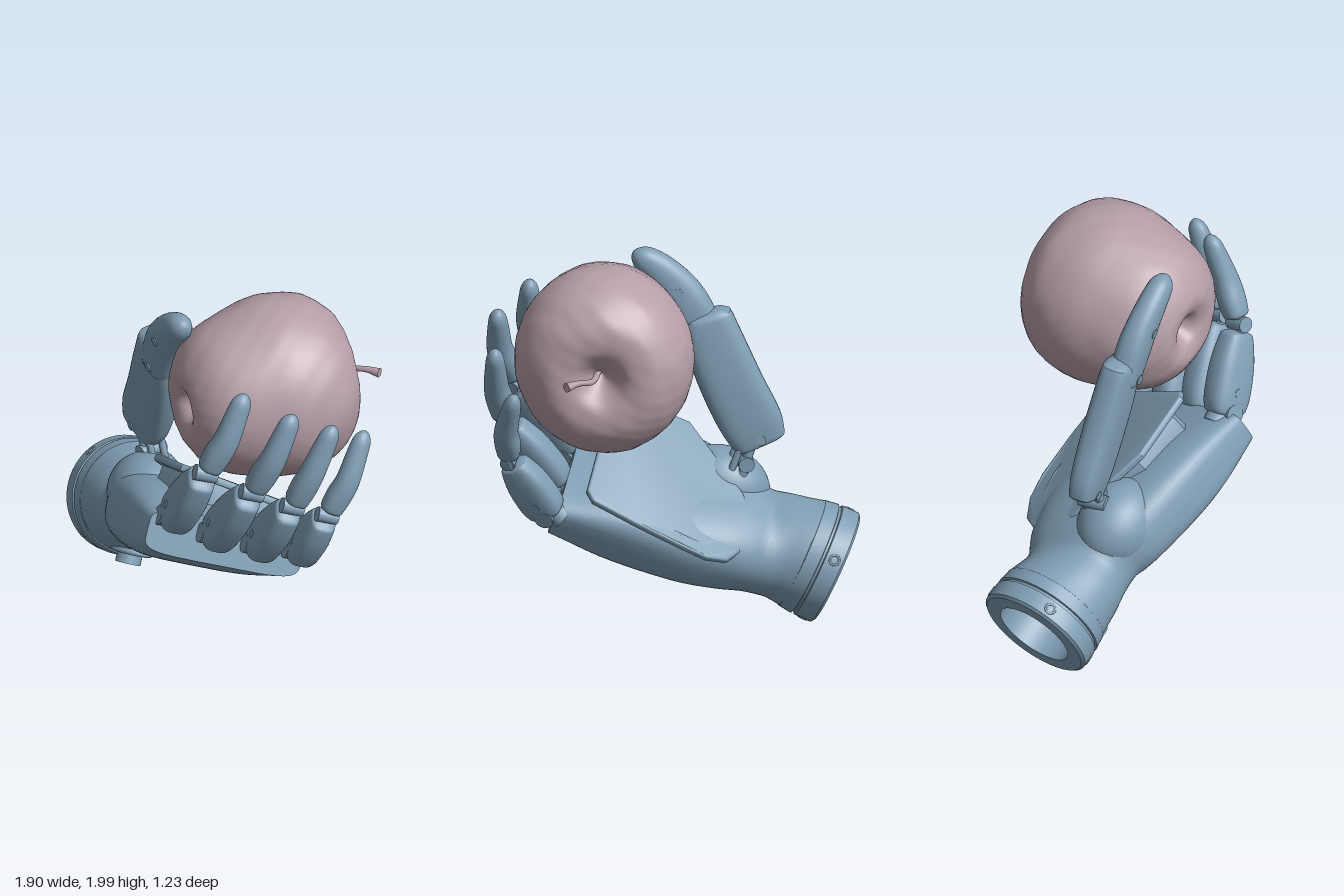
import * as THREE from 'three';
import { mergeVertices, toCreasedNormals } from 'three/addons/utils/BufferGeometryUtils.js';

const V = (x, y, z) => new THREE.Vector3(x, y, z);
const shell = new THREE.MeshStandardMaterial({ color: 0x7f9db3 });
const skin = new THREE.MeshStandardMaterial({ color: 0xb79fa9 });

// Hand frame: W runs from index to little finger, N out of the palm, L from wrist to knuckles
const L = V(0.88, 0.41, 0.22).normalize();
const N = L.clone().cross(V(0.35, -0.36, -0.87)).normalize();
const W = N.clone().cross(L);

function add(parent, name, geometry, material = shell) {
  const mesh = new THREE.Mesh(geometry, material);
  mesh.name = name;
  parent.add(mesh);
  return mesh;
}

// Superellipse loft. Sections: [x, y, z, half width, half depth, exponent].
// r0 and r1 are the shares of the length rounded off at each end.
function loft(sections, side, { r0 = 0, r1 = 0, steps = 24, sides = 32 } = {}) {
  const path = new THREE.CatmullRomCurve3(sections.map(s => V(s[0], s[1], s[2])), false, 'catmullrom', 0.5);
  const size = new THREE.CatmullRomCurve3(sections.map(s => V(s[3], s[4], s[5])), false, 'catmullrom', 0.5);
  const pos = [], index = [];
  const power = (c, e) => Math.sign(c) * Math.abs(c) ** (2 / e);
  const round = (d, r) => (d >= r ? 1 : Math.sqrt(Math.max(0, 1 - (1 - d / r) ** 2)));
  for (let i = -1; i <= steps + 1; i++) {
    const u = Math.min(Math.max(i / steps, 0), 1);
    const t = (1 - Math.cos(Math.PI * u)) / 2;          // denser towards both ends
    const p = path.getPoint(t), s = size.getPoint(t), T = path.getTangent(t);
    const A = side.clone().addScaledVector(T, -side.dot(T)).normalize();
    const B = T.clone().cross(A);
    const k = i < 0 || i > steps ? 0 : round(t, r0) * round(1 - t, r1);
    for (let j = 0; j < sides; j++) {
      const a = (j / sides) * Math.PI * 2;
      const q = p.clone()
        .addScaledVector(A, k * s.x * power(Math.cos(a), s.z))
        .addScaledVector(B, k * s.y * power(Math.sin(a), s.z));
      pos.push(q.x, q.y, q.z);
    }
  }
  for (let i = 0; i < steps + 2; i++) for (let j = 0; j < sides; j++) {
    const a = i * sides + j, b = i * sides + (j + 1) % sides;
    index.push(a, b, a + sides, b, b + sides, a + sides);
  }
  const g = new THREE.BufferGeometry();
  g.setAttribute('position', new THREE.Float32BufferAttribute(pos, 3));
  g.setIndex(index);
  return toCreasedNormals(g, 0.7);
}

// Cylinder centred on a point, along a direction
function pin(parent, name, at, dir, radius, length) {
  const m = add(parent, name, toCreasedNormals(new THREE.CylinderGeometry(radius, radius, length, 20), 0.7));
  m.position.copy(at);
  m.quaternion.setFromUnitVectors(V(0, 1, 0), dir.clone().normalize());
}

function strut(parent, name, a, b, radius) {
  pin(parent, name, a.clone().lerp(b, 0.5), b.clone().sub(a), radius, a.distanceTo(b));
}

function makePalm() {
  const palm = new THREE.Group();
  palm.name = 'palm';
  palm.applyMatrix4(new THREE.Matrix4().makeBasis(W, N, L).setPosition(-0.82, 0.27, -0.06));

  // Hollow wrist collar with a groove
  const collar = [[0, 0.22], [0.2, 0.22], [0.2, 0], [0.28, 0], [0.295, 0.012], [0.295, 0.1],
    [0.283, 0.104], [0.283, 0.116], [0.294, 0.12], [0.285, 0.19], [0.25, 0.22]].map(p => new THREE.Vector2(...p));
  add(palm, 'wristCollar', toCreasedNormals(new THREE.LatheGeometry(collar, 56).rotateX(Math.PI / 2), 0.6));
  for (let i = 0; i < 4; i++) {
    const a = (i / 4) * Math.PI * 2 + 0.9;
    const ring = add(palm, 'collarScrew', new THREE.TorusGeometry(0.024, 0.006, 8, 20).rotateY(Math.PI / 2));
    ring.position.set(Math.cos(a) * 0.293, Math.sin(a) * 0.293, 0.055);
    ring.rotation.z = a;
  }

  // Body of the hand, from round wrist to flat knuckle edge
  add(palm, 'handBody', loft([
    [0, 0, 0.16, 0.287, 0.286, 2], [0.005, -0.01, 0.29, 0.28, 0.252, 2], [0.03, -0.015, 0.42, 0.288, 0.215, 2.2],
    [0.05, 0, 0.56, 0.34, 0.215, 2.6], [0.055, -0.005, 0.75, 0.39, 0.21, 3], [0.05, -0.025, 1.1, 0.42, 0.185, 4],
    [0.06, -0.048, 1.425, 0.42, 0.115, 5]], V(1, 0, 0), { steps: 36, sides: 48 }));

  // Button on the back of the wrist
  pin(palm, 'wristButton', V(0.01, -0.27, 0.27), V(0, 1, 0), 0.064, 0.09);
  const rim = add(palm, 'buttonRim', new THREE.TorusGeometry(0.09, 0.016, 10, 28).rotateX(Math.PI / 2));
  rim.position.set(0.01, -0.25, 0.28);
  rim.scale.set(1, 1, 1.2);

  // Palm cover, curling down towards the wrist, with an inner pad beneath it
  const outline = [[-0.22, 0.97], [-0.21, 1.33], [-0.18, 1.36], [0.4, 1.32], [0.44, 1.28], [0.46, 1.05], [0.47, 0.8],
    [0.46, 0.66], [0.41, 0.56], [0.33, 0.52], [0.07, 0.56], [0.02, 0.6]].map(p => new THREE.Vector2(...p));
  const cover = (name, scale, depth, y) => {
    const mid = new THREE.Vector2(0.1, 0.88);
    const shape = new THREE.Shape(outline.map(p => p.clone().sub(mid).multiplyScalar(scale).add(mid)));
    const g = new THREE.ExtrudeGeometry(shape, { depth, bevelSize: 0.012, bevelThickness: 0.01, bevelSegments: 3 });
    g.rotateX(Math.PI / 2);
    const p = g.attributes.position;
    for (let i = 0; i < p.count; i++) p.setY(i, p.getY(i) - 0.35 * Math.max(0, 0.9 - p.getZ(i)) ** 2);
    const m = add(palm, name, toCreasedNormals(g, 0.6));
    m.position.y = y;
    m.rotation.z = -0.15;
  };
  cover('palmCover', 1, 0.018, 0.25);
  cover('palmPad', 0.82, 0.16, 0.235);

  // Swollen thumb mount on the index side
  const mount = add(palm, 'thumbMount', new THREE.SphereGeometry(1, 40, 24));
  mount.position.set(-0.13, 0.08, 0.68);
  mount.scale.set(0.19, 0.2, 0.24);
  return palm;
}

// Finger: knuckle base, proximal shell, hinge and curved fingertip
function makeFinger(name, base, joint, mid, tip, s) {
  const finger = new THREE.Group();
  finger.name = name;
  const dir = joint.clone().sub(base).normalize();
  const at = (t, a, b) => [...base.clone().lerp(joint, t).toArray(), a * s, b * s, 3];
  add(finger, 'proximalSegment', loft([at(-0.06, 0.075, 0.088), at(0.15, 0.085, 0.114), at(0.5, 0.084, 0.112),
    at(0.75, 0.075, 0.092), at(0.92, 0.064, 0.07)], W, { r0: 0.1, r1: 0.07 }));
  const side = W.clone().addScaledVector(dir, -W.dot(dir)).normalize();
  pin(finger, 'knucklePin', base, side, 0.05 * s, 0.17 * s);
  pin(finger, 'sideScrew', base.clone().lerp(joint, 0.24), side, 0.022, 0.176 * s);
  pin(finger, 'hingePin', joint, side, 0.04 * s, 0.115 * s);
  strut(finger, 'knuckleLink', base.clone().addScaledVector(L, -0.08), base.clone().addScaledVector(dir, 0.05), 0.065 * s);
  for (const d of [-0.035, 0.035]) {
    const off = side.clone().multiplyScalar(d * s);
    strut(finger, 'hingeLink', base.clone().lerp(joint, 0.85).add(off), joint.clone().lerp(mid, 0.25).add(off), 0.019);
  }
  const start = joint.clone().lerp(mid, 0.1);
  add(finger, 'fingertip', loft([[...start.toArray(), 0.058 * s, 0.058 * s, 2.6],
    [...joint.clone().lerp(mid, 0.55).toArray(), 0.067 * s, 0.068 * s, 2.4],
    [...mid.toArray(), 0.064 * s, 0.064 * s, 2.2], [...mid.clone().lerp(tip, 0.55).toArray(), 0.057 * s, 0.053 * s, 2],
    [...tip.toArray(), 0.046 * s, 0.038 * s, 2]], W, { r0: 0.06, r1: 0.14 }));
  return finger;
}

function makeThumb() {
  const thumb = new THREE.Group();
  thumb.name = 'thumb';
  add(thumb, 'lowerSegment', loft([[-0.465, 0.91, 0.065, 0.125, 0.062, 3.5], [-0.42, 1.02, 0.075, 0.154, 0.076, 3.2],
    [-0.335, 1.2, 0.095, 0.156, 0.085, 3], [-0.25, 1.42, 0.125, 0.148, 0.085, 3],
    [-0.195, 1.62, 0.15, 0.122, 0.074, 3]], V(1, -0.5, 0), { r0: 0.03, r1: 0.05 }));
  add(thumb, 'upperSegment', loft([[-0.21, 1.44, 0.15, 0.1, 0.07, 2.6], [-0.13, 1.62, 0.175, 0.108, 0.078, 2.5],
    [-0.06, 1.73, 0.195, 0.102, 0.074, 2.4], [0.035, 1.835, 0.218, 0.082, 0.068, 2.2],
    [0.15, 1.92, 0.238, 0.055, 0.055, 2]], V(1, -0.6, 0), { r0: 0.05, r1: 0.13 }));
  const across = V(-0.12, -0.12, 1);
  pin(thumb, 'baseScrew', V(-0.46, 0.95, 0.068), across, 0.024, 0.146);
  pin(thumb, 'middleScrew', V(-0.17, 1.5, 0.15), across, 0.026, 0.176);
  pin(thumb, 'upperScrew', V(-0.065, 1.72, 0.195), across, 0.024, 0.154);
  // Bracket joining the thumb to its mount
  for (const z of [0.035, 0.105]) {
    strut(thumb, 'bracketArm', V(-0.36, 0.76, z), V(-0.42, 0.97, z), 0.026);
    strut(thumb, 'bracketBrace', V(-0.31, 0.8, z), V(-0.37, 0.96, z), 0.018);
  }
  pin(thumb, 'bracketPin', V(-0.38, 0.83, 0.07), V(0, 0, 1), 0.04, 0.14);
  return thumb;
}

function makeApple() {
  const apple = new THREE.Group();
  apple.name = 'apple';
  const profile = new THREE.SplineCurve([[0, -0.33], [0.04, -0.35], [0.1, -0.425], [0.21, -0.435], [0.36, -0.315],
    [0.445, -0.08], [0.465, 0.09], [0.42, 0.27], [0.3, 0.39], [0.17, 0.405], [0.08, 0.35], [0, 0.26]]
    .map(p => new THREE.Vector2(...p))).getPoints(72);
  profile[0].x = profile[profile.length - 1].x = 0;
  let g = new THREE.LatheGeometry(profile, 96);
  g.deleteAttribute('uv');
  g.deleteAttribute('normal');
  g = mergeVertices(g, 1e-4);
  // Slightly lumpy skin, a little narrower than tall
  const p = g.attributes.position;
  for (let i = 0; i < p.count; i++) {
    const x = p.getX(i), y = p.getY(i), z = p.getZ(i);
    const k = 1 + 0.004 * Math.sin(21 * x + 9 * y) * Math.sin(19 * z - 13 * y)
      + 0.003 * Math.sin(47 * x - 31 * z) * Math.sin(43 * y + 25 * z);
    p.setXYZ(i, x * k * 0.955, y * k, z * k);
  }
  g.computeVertexNormals();
  const fruit = add(apple, 'fruit', g, skin);
  fruit.position.set(0.35, 1.533, -0.107);
  fruit.quaternion.setFromUnitVectors(V(0, 1, 0), V(0.225, 0.03, -0.97).normalize());
  add(apple, 'stem', loft([[0.42, 1.55, -0.34, 0.016, 0.016, 2], [0.48, 1.56, -0.5, 0.015, 0.015, 2],
    [0.56, 1.58, -0.56, 0.015, 0.015, 2], [0.63, 1.58, -0.6, 0.024, 0.024, 2]], V(0, 1, 0), { sides: 14 }), skin);
  return apple;
}

export function createModel() {
  const model = new THREE.Group();
  model.name = 'handHoldingApple';
  model.add(makePalm(), makeThumb(), makeApple());
  model.add(
    makeFinger('indexFinger', V(0.365, 0.98, 0.455), V(0.6, 1.36, 0.43), V(0.655, 1.56, 0.34), V(0.67, 1.8, 0.24), 1),
    makeFinger('middleFinger', V(0.48, 0.87, 0.285), V(0.75, 1.26, 0.255), V(0.83, 1.48, 0.18), V(0.86, 1.72, 0.08), 1),
    makeFinger('ringFinger', V(0.57, 0.78, 0.085), V(0.82, 1.14, 0.06), V(0.88, 1.35, -0.02), V(0.91, 1.6, -0.13), 0.97),
    makeFinger('littleFinger', V(0.64, 0.71, -0.11), V(0.835, 1.02, -0.14), V(0.87, 1.21, -0.24), V(0.85, 1.45, -0.36), 0.93));
  return model;
}
